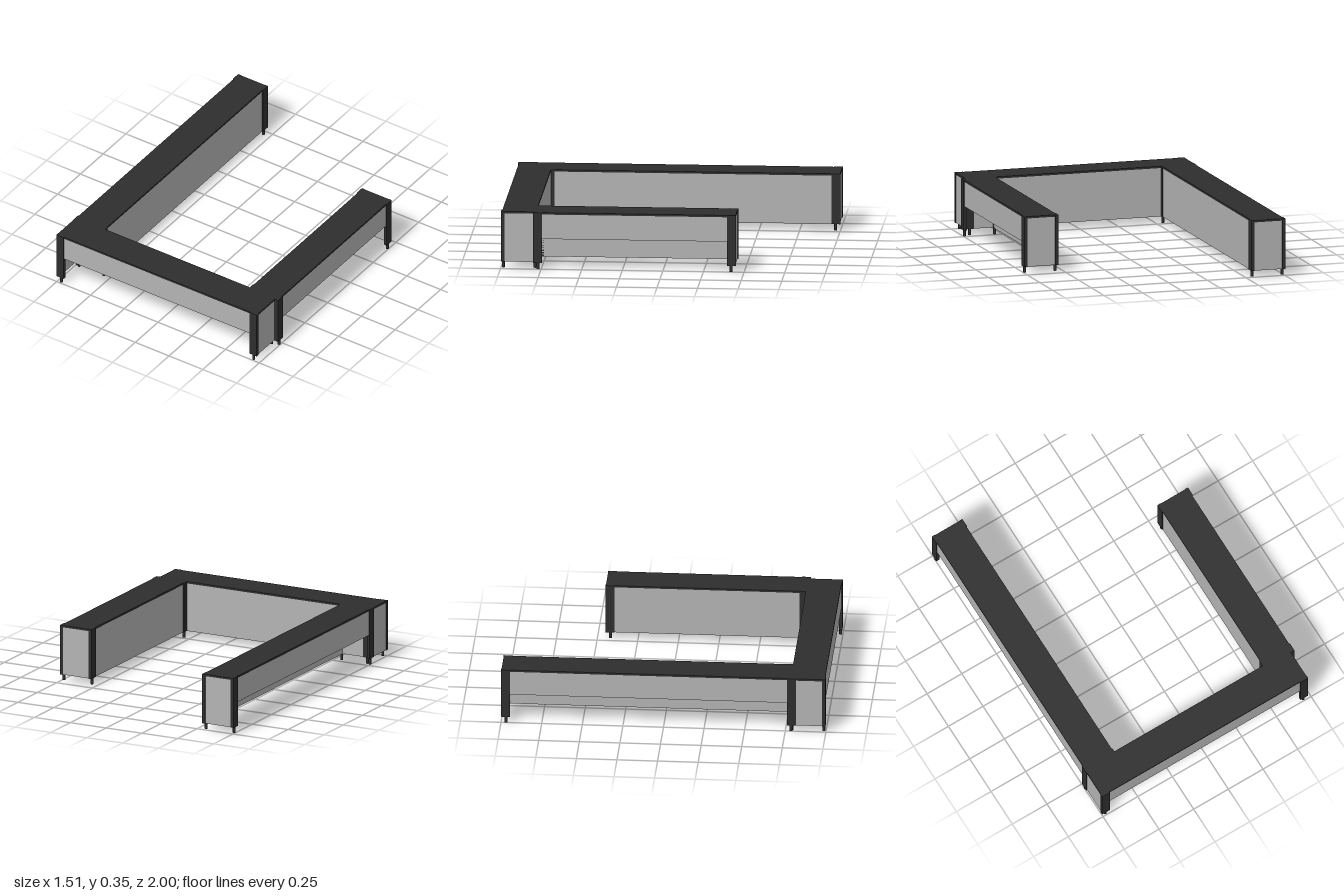
import * as THREE from 'three';

const WIDTH = 0.22, FLOOR = 0.04, TOP = 0.355, SLAB = 0.012, SHELF = 0.19;
const POST_L = 0.055, POST_T = 0.02, PANEL_T = 0.015, INSET = 0.005;

const frameMat = new THREE.MeshStandardMaterial({ color: 0x2e2e2e });
frameMat.name = 'charcoal';
const panelMat = new THREE.MeshStandardMaterial({ color: 0xb4b4b4 });
panelMat.name = 'lightGrey';

// box given by its minimum and maximum corners
function box(name, mat, x0, x1, y0, y1, z0, z1) {
  const mesh = new THREE.Mesh(new THREE.BoxGeometry(x1 - x0, y1 - y0, z1 - z0), mat);
  mesh.position.set((x0 + x1) / 2, (y0 + y1) / 2, (z0 + z1) / 2);
  mesh.name = name;
  return mesh;
}

// one counter: length along x, open-bottomed outer side towards +z
function counter(name, length) {
  const g = new THREE.Group();
  g.name = name;
  const l = length / 2, w = WIDTH / 2, under = TOP - SLAB;
  const px = l - INSET, pz = w - INSET;

  g.add(box('worktop', frameMat, -l + 0.002, l - 0.002, under, TOP, -pz, pz));
  g.add(box('innerPanel', panelMat, -px, px, FLOOR, under, -pz, -pz + PANEL_T));
  g.add(box('outerPanel', panelMat, -px, px, SHELF, under, pz - PANEL_T, pz));
  g.add(box('shelf', panelMat, -px + PANEL_T, px - PANEL_T, SHELF, SHELF + 0.01, -pz + PANEL_T, pz - PANEL_T));

  for (const sx of [-1, 1]) {
    const a = sx * px, b = sx * (px - PANEL_T);
    g.add(box('endPanel', panelMat, Math.min(a, b), Math.max(a, b), FLOOR, under, -pz + PANEL_T, pz - PANEL_T));
    for (const sz of [-1, 1]) {
      // corner post with its small round foot
      const cx = sx * (l - POST_L / 2), cz = sz * (w - POST_T / 2);
      g.add(box('cornerPost', frameMat, cx - POST_L / 2, cx + POST_L / 2, FLOOR, TOP,
        cz - POST_T / 2, cz + POST_T / 2));
      const foot = new THREE.Mesh(new THREE.CylinderGeometry(0.009, 0.009, FLOOR, 16), frameMat);
      foot.position.set(sx * (l - 0.03), FLOOR / 2, sz * (w - 0.012));
      foot.name = 'foot';
      g.add(foot);
    }
  }
  return g;
}

export function createModel() {
  const model = new THREE.Group();
  model.name = 'counterSet';

  // front counter
  const front = counter('frontCounter', 1.485);
  front.position.set(-0.0125, 0, 0.888);
  model.add(front);

  // long side counter, outer side towards -x
  const long = counter('longCounter', 1.815);
  long.rotation.y = -Math.PI / 2;
  long.position.set(-0.645, 0, -0.0925);
  model.add(long);

  // short side counter, outer side towards +x
  const short = counter('shortCounter', 1.25);
  short.rotation.y = Math.PI / 2;
  short.position.set(0.643, 0, 0.175);
  model.add(short);

  return model;
}
